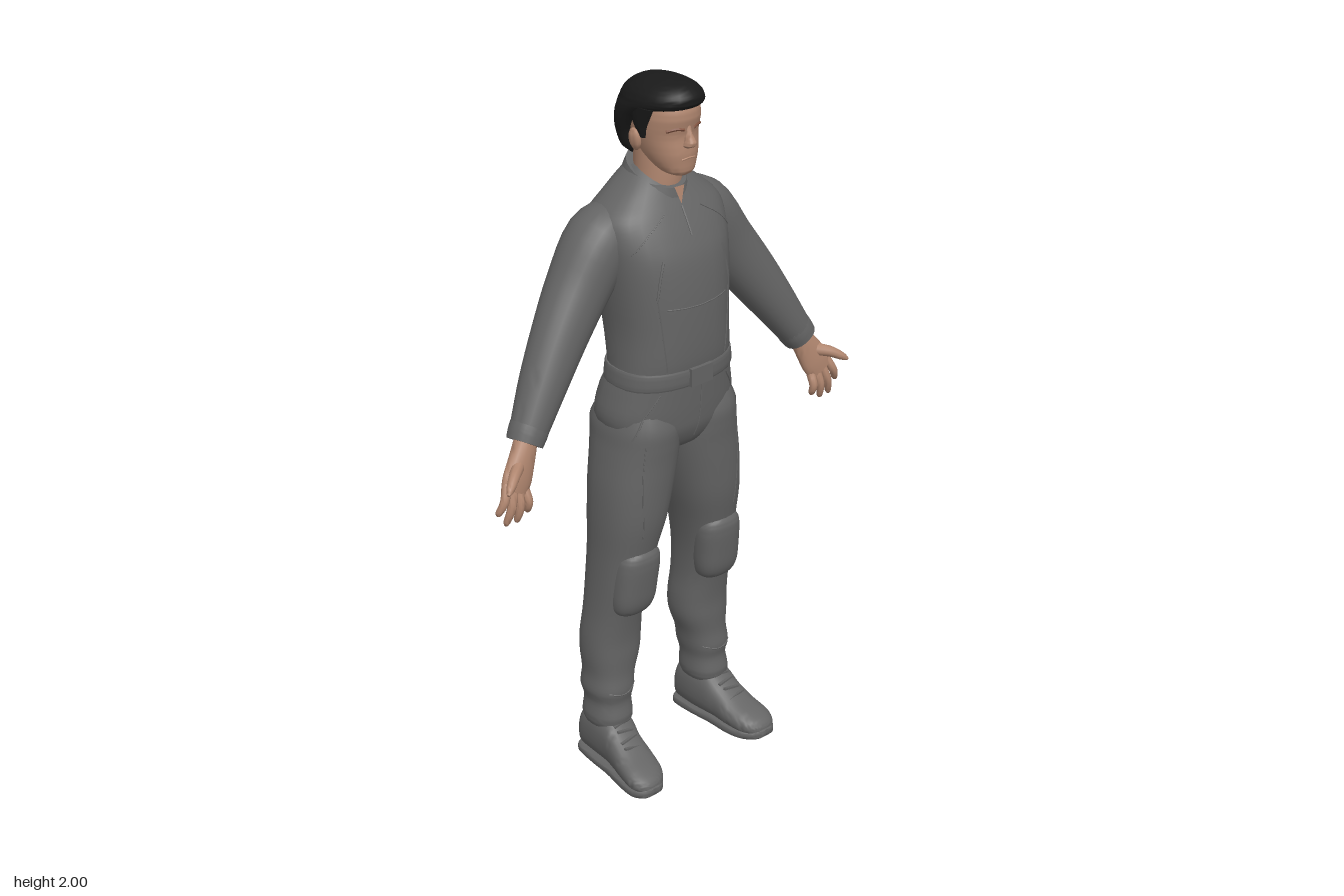
import * as THREE from 'three';
import { toCreasedNormals } from 'three/addons/utils/BufferGeometryUtils.js';

const mat = (name, color) => Object.assign(new THREE.MeshStandardMaterial({ color }), { name });
const V = (x, y, z) => new THREE.Vector3(x, y, z);

// Catmull-Rom refinement of a table of section values
function refine(rows, steps = 4) {
  const out = [];
  for (let i = 0; i < rows.length - 1; i++) {
    const a = rows[Math.max(i - 1, 0)], b = rows[i], c = rows[i + 1], d = rows[Math.min(i + 2, rows.length - 1)];
    for (let s = 0; s < steps; s++) {
      const t = s / steps;
      out.push(b.map((p, k) => {
        const cubic = 3 * (p - c[k]) + d[k] - a[k];
        const square = 2 * a[k] - 5 * p + 4 * c[k] - d[k];
        return p + 0.5 * t * (c[k] - a[k] + t * (square + t * cubic));
      }));
    }
  }
  out.push(rows[rows.length - 1]);
  return out;
}

// Closed skin over superellipse rings { c, u, v }, where u x v points along the loft
function loft(rings, e = 2.3, n = 28) {
  const pos = [], idx = [], bend = t => Math.sign(t) * Math.pow(Math.abs(t), 2 / e);
  for (const { c, u, v, tilt = 0 } of rings) {
    for (let i = 0; i < n; i++) {
      const a = i / n * Math.PI * 2;
      const p = c.clone().addScaledVector(u, bend(Math.cos(a))).addScaledVector(v, bend(Math.sin(a)));
      pos.push(p.x, p.y + tilt * (p.z - c.z), p.z);
    }
  }
  const last = rings.length - 1, c0 = rings.length * n, c1 = c0 + 1;
  pos.push(...rings[0].c.toArray(), ...rings[last].c.toArray());
  for (let i = 0; i < n; i++) {
    const j = (i + 1) % n;
    for (let k = 0; k < last; k++) {
      const a = k * n + i, b = k * n + j;
      idx.push(a, b, b + n, a, b + n, a + n);
    }
    idx.push(c0, j, i, c1, last * n + i, last * n + j);
  }
  const g = new THREE.BufferGeometry();
  g.setAttribute('position', new THREE.Float32BufferAttribute(pos, 3));
  g.setIndex(idx);
  return g;
}

// Upright loft, rows: y, xMin, xMax, zFront, zBack
const upright = (rows, e, tilt = 0) => loft(refine(rows).map(([y, x0, x1, zf, zb]) => ({
  c: V((x0 + x1) / 2, y, (zf + zb) / 2), u: V(0, 0, (zf - zb) / 2), v: V((x1 - x0) / 2, 0, 0), tilt })), e);
const centred = (rows, e, tilt) => upright(rows.map(([y, w, zf, zb]) => [y, -w, w, zf, zb]), e, tilt);

// Loft along a path, rows: x, y, z, radius in the front plane, radius in depth
function limb(rows, e = 2.1, n = 20) {
  const r = refine(rows);
  return loft(r.map((p, i) => {
    const a = r[Math.max(i - 1, 0)], b = r[Math.min(i + 1, r.length - 1)];
    const d = V(b[0] - a[0], b[1] - a[1], b[2] - a[2]).normalize();
    const u = V(0, 0, 1).cross(d).normalize(), v = d.clone().cross(u);
    return { c: V(p[0], p[1], p[2]), u: u.multiplyScalar(p[3]), v: v.multiplyScalar(p[4]) };
  }), e, n);
}

// Forward loft, rows: z, centre x, half width, bottom, top
const forward = (rows, e) => loft(refine(rows).map(([z, cx, w, y0, y1]) => ({
  c: V(cx, (y0 + y1) / 2, z), u: V(w, 0, 0), v: V(0, (y1 - y0) / 2, 0) })), e);

function mirrored(g) {
  const m = g.clone().scale(-1, 1, 1), ix = m.index.array;
  for (let i = 0; i < ix.length; i += 3) [ix[i], ix[i + 1]] = [ix[i + 1], ix[i]];
  return m;
}

export function createModel() {
  const model = new THREE.Group();
  model.name = 'manInCoveralls';
  const suit = mat('suitGrey', 0x646464), skin = mat('skin', 0xb0866f),
    shade = mat('browBrown', 0x80523f), hair = mat('hairBlack', 0x1a1a1a);

  const add = (name, g, m) => {
    const mesh = new THREE.Mesh(toCreasedNormals(g, 0.9), m);
    mesh.name = name;
    model.add(mesh);
    return mesh;
  };
  const pair = (name, g, m) => [add('left' + name, g, m), add('right' + name, mirrored(g), m)];

  // Torso and pelvis
  const torso = add('torso', centred([
    [0.975, 0.03, 0.03, -0.06], [1.0, 0.09, 0.08, -0.105], [1.05, 0.18, 0.107, -0.143], [1.1, 0.203, 0.115, -0.152],
    [1.17, 0.19, 0.12, -0.14], [1.22, 0.176, 0.123, -0.12], [1.27, 0.172, 0.13, -0.13], [1.35, 0.17, 0.132, -0.15],
    [1.45, 0.178, 0.128, -0.172], [1.54, 0.188, 0.115, -0.184], [1.6, 0.195, 0.092, -0.185], [1.65, 0.187, 0.065, -0.175],
    [1.69, 0.145, 0.04, -0.158], [1.73, 0.095, 0.012, -0.14], [1.76, 0.06, -0.02, -0.12]], 2.4), suit);

  // Belt, buckle and collar
  add('belt', centred([[1.195, 0.182, 0.126, -0.13], [1.205, 0.183, 0.129, -0.13],
    [1.235, 0.18, 0.13, -0.128], [1.245, 0.177, 0.128, -0.127]], 2.4), suit);
  add('buckle', new THREE.BoxGeometry(0.074, 0.05, 0.012).translate(0, 1.222, 0.131), suit);
  add('collar', centred([[1.69, 0.092, 0.045, -0.137], [1.72, 0.084, 0.042, -0.134], [1.748, 0.074, 0.035, -0.125]],
    2.1, -0.42), suit);
  add('collarOpening', new THREE.CircleGeometry(0.024, 3).rotateZ(-Math.PI / 2).scale(0.8, 1.3, 1)
    .rotateX(-0.18).translate(0, 1.705, 0.047), skin);

  // Legs, inner edge to outer edge
  const legs = pair('Leg', upright([
    [1.14, 0.02, 0.18, 0.09, -0.11], [1.08, 0.0, 0.2, 0.112, -0.149], [1.03, -0.002, 0.207, 0.112, -0.148],
    [0.98, 0.0, 0.215, 0.108, -0.142],
    [0.9, 0.014, 0.226, 0.104, -0.136], [0.8, 0.036, 0.231, 0.096, -0.13], [0.7, 0.062, 0.231, 0.076, -0.125],
    [0.6, 0.08, 0.234, 0.058, -0.126], [0.5, 0.085, 0.239, 0.035, -0.13], [0.42, 0.08, 0.246, 0.022, -0.138],
    [0.36, 0.084, 0.247, 0.02, -0.138], [0.3, 0.104, 0.243, 0.018, -0.13], [0.25, 0.113, 0.248, 0.023, -0.132],
    [0.21, 0.121, 0.24, 0.016, -0.122], [0.16, 0.12, 0.246, 0.024, -0.126], [0.135, 0.128, 0.24, 0.015, -0.12]
  ].reverse(), 2.3), suit);
  const pads = pair('KneePad', upright([[0.508, 0.125, 0.185, 0.04, -0.02], [0.522, 0.1, 0.21, 0.06, -0.02],
    [0.555, 0.088, 0.219, 0.075, -0.02], [0.61, 0.083, 0.219, 0.083, -0.02], [0.67, 0.08, 0.215, 0.089, -0.01],
    [0.7, 0.085, 0.208, 0.087, 0], [0.718, 0.1, 0.19, 0.076, 0.01]], 2.4), suit);

  // Boots with soles, toes turned slightly out
  pair('Boot', forward([[-0.132, 0.182, 0.03, 0.012, 0.08], [-0.12, 0.183, 0.05, 0.012, 0.15],
    [-0.06, 0.184, 0.058, 0.012, 0.175], [0.0, 0.188, 0.057, 0.012, 0.165], [0.04, 0.194, 0.056, 0.012, 0.128],
    [0.09, 0.2, 0.06, 0.012, 0.094], [0.14, 0.208, 0.058, 0.012, 0.072], [0.17, 0.212, 0.044, 0.012, 0.056],
    [0.184, 0.214, 0.024, 0.015, 0.042]], 2.5), suit);
  pair('Sole', forward([[-0.136, 0.182, 0.035, 0, 0.03], [-0.12, 0.183, 0.053, 0, 0.03], [-0.05, 0.188, 0.058, 0, 0.03],
    [0.02, 0.194, 0.057, 0, 0.03], [0.1, 0.202, 0.063, 0, 0.03], [0.15, 0.21, 0.056, 0, 0.03],
    [0.18, 0.214, 0.036, 0.004, 0.032], [0.189, 0.215, 0.018, 0.01, 0.03]], 5), suit);
  for (let i = 0; i < 4; i++) {
    pair('Lace' + (i + 1), new THREE.BoxGeometry(0.055, 0.006, 0.008).rotateZ(i % 2 ? 0.2 : -0.2)
      .translate(0.19 + i * 0.003, 0.152 - i * 0.017, 0.018 + i * 0.019), suit);
  }

  // Sleeves and cuffs
  const sleeves = pair('Sleeve', limb([[0.08, 1.635, -0.075, 0.05, 0.075], [0.165, 1.585, -0.073, 0.09, 0.09],
    [0.25, 1.475, -0.065, 0.086, 0.081], [0.33, 1.37, -0.045, 0.076, 0.07], [0.4, 1.27, -0.025, 0.064, 0.062],
    [0.46, 1.18, -0.005, 0.052, 0.051], [0.485, 1.142, 0.002, 0.047, 0.046]], 2.1, 24), suit);
  pair('Cuff', limb([[0.464, 1.175, -0.004, 0.051, 0.05], [0.475, 1.158, -0.001, 0.051, 0.05],
    [0.488, 1.138, 0.003, 0.048, 0.047]], 2.2), suit);

  // Hands, palms forward with thumbs outward
  pair('Palm', limb([[0.478, 1.155, 0, 0.03, 0.028], [0.503, 1.108, 0.012, 0.038, 0.026],
    [0.53, 1.06, 0.024, 0.047, 0.021], [0.547, 1.028, 0.03, 0.043, 0.016]]), skin);
  const tips = [[0.51, 0.96], [0.545, 0.941], [0.58, 0.943], [0.605, 0.98]];
  tips.forEach(([x, y], i) => {
    const t = -0.033 + i * 0.022, bx = 0.54 + t * 0.85, by = 1.04 + t * 0.5;
    pair('Finger' + (i + 1), limb([[bx, by, 0.028, 0.013, 0.013], [(bx + x) / 2, (by + y) / 2, 0.042, 0.012, 0.012],
      [x * 0.9 + bx * 0.1, y * 0.9 + by * 0.1, 0.035, 0.009, 0.009], [x, y, 0.032, 0.003, 0.003]], 2, 10), skin);
  });
  pair('Thumb', limb([[0.515, 1.095, 0.016, 0.02, 0.017], [0.558, 1.086, 0.05, 0.016, 0.015],
    [0.59, 1.068, 0.073, 0.011, 0.011], [0.604, 1.058, 0.082, 0.004, 0.004]], 2, 10), skin);

  // Neck and head
  add('neck', centred([[1.66, 0.07, 0.02, -0.11], [1.74, 0.06, 0.026, -0.105], [1.84, 0.06, 0.02, -0.11]], 2), skin);
  const head = add('head', centred([[1.756, 0.022, 0.066, 0.02], [1.766, 0.042, 0.077, -0.01], [1.79, 0.058, 0.08, -0.05],
    [1.82, 0.069, 0.082, -0.085], [1.86, 0.078, 0.077, -0.11], [1.885, 0.081, 0.081, -0.115],
    [1.92, 0.081, 0.086, -0.12], [1.96, 0.068, 0.068, -0.1], [1.98, 0.04, 0.03, -0.06]], 2.2), skin);
  add('nose', centred([[1.832, 0.01, 0.084, 0.06], [1.839, 0.017, 0.099, 0.06], [1.85, 0.014, 0.102, 0.06],
    [1.87, 0.009, 0.09, 0.06], [1.892, 0.008, 0.082, 0.06]], 2), skin);
  pair('Ear', new THREE.SphereGeometry(1, 14, 10).scale(0.012, 0.031, 0.02).rotateZ(-0.15).translate(0.084, 1.846, -0.03), skin);

  // Hair: nape, crown and side locks
  add('hair', centred([[1.788, 0.048, -0.06, -0.112], [1.81, 0.07, -0.055, -0.132], [1.85, 0.083, -0.046, -0.143],
    [1.88, 0.09, -0.025, -0.147], [1.905, 0.093, 0.005, -0.147], [1.925, 0.094, 0.05, -0.145],
    [1.938, 0.093, 0.09, -0.142], [1.955, 0.089, 0.101, -0.135], [1.975, 0.075, 0.092, -0.116],
    [1.992, 0.048, 0.066, -0.084], [2.0, 0.018, 0.02, -0.045]], 2.1), hair);
  pair('Sideburn', upright([[1.855, 0.072, 0.083, 0.002, -0.014], [1.89, 0.07, 0.089, 0.012, -0.04],
    [1.935, 0.07, 0.092, 0.035, -0.05]], 2.3), hair);

  // Thin raised lines projected onto a surface; side +1 is front, -1 is back
  const ray = new THREE.Raycaster();
  const project = (targets, pts, side, r) => {
    const hits = [];
    for (const p of new THREE.CatmullRomCurve3(pts.map(([x, y]) => V(x, y, 0))).getPoints(12)) {
      ray.set(V(p.x, p.y, side), V(0, 0, -side));
      const hit = ray.intersectObjects(targets, false)[0];
      if (hit) hits.push(hit.point);
    }
    return new THREE.TubeGeometry(new THREE.CatmullRomCurve3(hits), 20, r, 5);
  };
  const body = [torso, ...legs, ...sleeves, ...pads];
  const seams = {
    ChestPocket: [[[0.1, 1.555], [0.112, 1.51], [0.122, 1.455]], 1, 0.004],
    ChestSeam: [[[0.122, 1.455], [0.108, 1.32], [0.1, 1.25]], 1, 0.002],
    FrontYoke: [[[0.06, 1.66], [0.12, 1.62], [0.165, 1.575]], 1, 0.002],
    HipPocket: [[[0.115, 1.185], [0.15, 1.13], [0.185, 1.06]], 1, 0.003],
    TrouserSeam: [[[0.16, 1.05], [0.17, 0.92], [0.165, 0.76]], 1, 0.002],
    ShinSeam: [[[0.13, 0.26], [0.18, 0.245], [0.225, 0.255]], 1, 0.002],
    BackYoke: [[[0.002, 1.6], [0.08, 1.605], [0.17, 1.635]], -1, 0.002]
  };
  for (const [name, [pts, side, r]] of Object.entries(seams)) pair(name, project(body, pts, side, r), suit);
  add('chestHem', project(body, [[-0.1, 1.425], [0, 1.42], [0.1, 1.425]], 1, 0.002), suit);
  add('frontZip', project(body, [[0, 1.67], [0, 1.64], [0, 1.6]], 1, 0.003), suit);
  add('fly', project(body, [[0.012, 1.19], [0.012, 1.1], [0.004, 1.03]], 1, 0.002), suit);

  // Brows and lips
  pair('Brow', project([head], [[0.015, 1.882], [0.035, 1.886], [0.056, 1.88]], 1, 0.004), shade);
  add('lips', project([head], [[-0.022, 1.803], [0, 1.806], [0.022, 1.803]], 1, 0.003), skin);

  return model;
}
